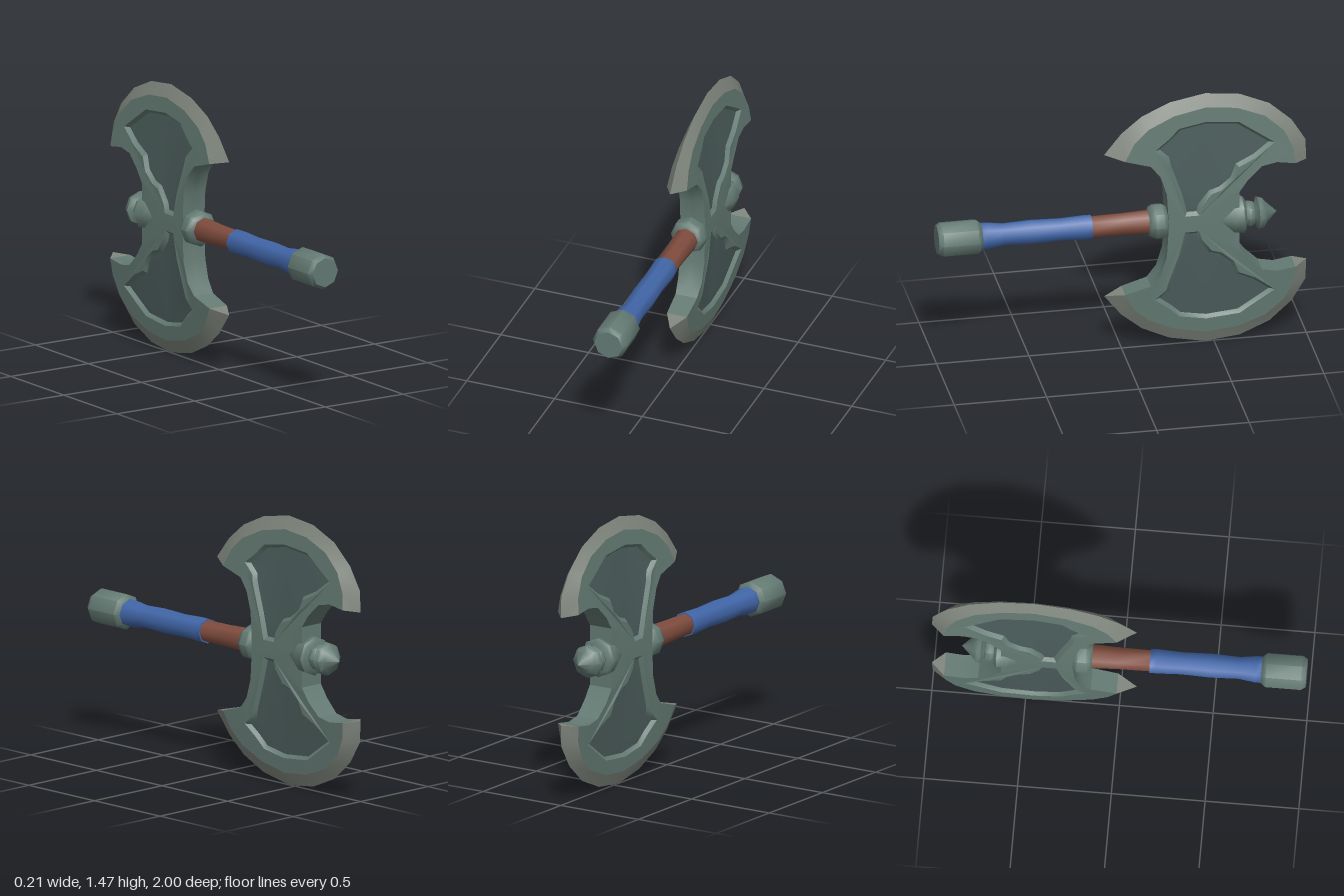
import * as THREE from 'three';
import { toCreasedNormals } from 'three/addons/utils/BufferGeometryUtils.js';

const MID = 0.735; // height of the haft axis
const material = (color) => new THREE.MeshStandardMaterial({ color });
const metal = material(0x647a73);
const edgeMetal = material(0x7f867d);
const panelMetal = material(0x4b5d5b);
const cloth = material(0x4166a8);
const wood = material(0x7f4c3e);

// Eight-sided turned part along z; profile is [z, radius] with z rising
function turned(name, profile, mat) {
  const points = profile.map(([z, r]) => new THREE.Vector2(r, z));
  const geo = new THREE.LatheGeometry(points, 8);
  geo.rotateX(Math.PI / 2).translate(0, MID, 0);
  const mesh = new THREE.Mesh(toCreasedNormals(geo, 0.85), mat);
  mesh.name = name;
  return mesh;
}

// Blade half-thickness thins out toward the cutting edge
const thickness = (y) => 0.07 - 0.1 * Math.max(0, y - 1);

// Collects triangles of one quarter and mirrors them across x and the haft axis.
// Corners are [a, y, x], where a runs toward the back (-z).
function quarterBuilder() {
  const positions = [];
  const tri = (...corners) => {
    for (const sx of [1, -1]) for (const sy of [1, -1]) {
      const order = sx * sy > 0 ? [0, 1, 2] : [0, 2, 1];
      for (const i of order) {
        const [a, y, x] = corners[i];
        positions.push(sx * x, MID + sy * (y - MID), -a);
      }
    }
  };
  const quad = (p, q, r, s) => { tri(p, q, r); tri(p, r, s); };
  // Flat region with optional hole, facing +x
  const fill = (outline, holes, height) => {
    const vec = (list) => list.map(([a, y]) => new THREE.Vector2(a, y));
    const all = [outline, ...holes].flat();
    for (const f of THREE.ShapeUtils.triangulateShape(vec(outline), holes.map(vec))) {
      const c = f.map((i) => [all[i][0], all[i][1], height(all[i][1])]);
      if (THREE.ShapeUtils.area(vec(c)) < 0) c.reverse();
      tri(...c);
    }
  };
  const mesh = (name, mat) => {
    const geo = new THREE.BufferGeometry();
    geo.setAttribute('position', new THREE.Float32BufferAttribute(positions, 3));
    geo.computeVertexNormals();
    const m = new THREE.Mesh(toCreasedNormals(geo, 0.5), mat);
    m.name = name;
    return m;
  };
  return { tri, quad, fill, mesh };
}

// Moves a clockwise outline outward by d
function offset(points, d) {
  const n = points.length;
  return points.map((p, i) => {
    const a = points[(i + n - 1) % n], b = points[(i + 1) % n];
    const normal = (u, v) => new THREE.Vector2(u[1] - v[1], v[0] - u[0]).normalize();
    const n1 = normal(a, p), n2 = normal(p, b);
    const m = n1.clone().add(n2).normalize();
    const k = d / Math.max(0.6, m.dot(n1));
    return [p[0] + m.x * k, p[1] + m.y * k];
  });
}

function createBlades() {
  const group = new THREE.Group();
  group.name = 'doubleBlade';

  // Outlines of the upper blade, from the front side over the top to the back
  const front = [[0.24, MID], [0.24, 0.8], [0.233, 0.919], [0.2, 1.026], [0.147, 1.09]];
  const bevel = [[0.01, 1.13], [0.06, 1.225], [0.14, 1.3], [0.28, 1.365], [0.453, 1.4],
    [0.62, 1.383], [0.77, 1.325], [0.87, 1.235], [0.92, 1.13], [0.93, 1.042]];
  const edge = [[-0.094, 1.154], [0, 1.272], [0.11, 1.363], [0.26, 1.433], [0.453, 1.47],
    [0.64, 1.449], [0.8, 1.38], [0.92, 1.272], [0.995, 1.149], [1, 1.031]];
  const back = [[0.83, 1.057], [0.748, 1.041], [0.673, 0.97], [0.625, 0.9], [0.625, MID]];
  const panel = [[0.345, 0.8], [0.315, 0.92], [0.26, 1.08], [0.25, 1.13], [0.2, 1.175],
    [0.26, 1.222], [0.315, 1.275], [0.453, 1.3], [0.625, 1.283], [0.79, 1.17], [0.705, 1.105],
    [0.61, 1.06], [0.58, 0.985], [0.52, 0.935], [0.465, 0.918], [0.405, 0.84], [0.395, 0.8]];
  const rim = offset(panel, 0.018);
  const top = ([a, y]) => [a, y, thickness(y)];
  const floorHeight = (y) => thickness(y) - 0.02;
  const low = ([a, y]) => [a, y, floorHeight(y)];
  const flat = ([a, y]) => [a, y, 0];

  // Body faces, side walls and the sloped border around the panel
  const body = quarterBuilder();
  body.fill([...front, ...bevel, ...back], [rim], thickness);
  for (const side of [[...front, bevel[0]], [bevel[9], ...back]]) {
    for (let i = 0; i < side.length - 1; i++) {
      const p = side[i], q = side[i + 1];
      body.quad(flat(p), top(p), top(q), flat(q));
    }
  }
  panel.forEach((p, i) => {
    const j = (i + 1) % panel.length;
    body.quad(low(p), low(panel[j]), top(rim[j]), top(rim[i]));
  });
  group.add(body.mesh('bladeBody', metal));

  // Sharpened strip, closed at both tips
  const sharp = quarterBuilder();
  for (let i = 0; i < edge.length - 1; i++) {
    sharp.quad(top(bevel[i]), top(bevel[i + 1]), flat(edge[i + 1]), flat(edge[i]));
  }
  sharp.tri(flat(bevel[0]), top(bevel[0]), flat(edge[0]));
  sharp.tri(flat(edge[9]), top(bevel[9]), flat(bevel[9]));
  group.add(sharp.mesh('cuttingEdge', edgeMetal));

  // Recessed panels
  const recess = quarterBuilder();
  recess.fill(panel, [], floorHeight);
  group.add(recess.mesh('recessedPanel', panelMetal));
  return group;
}

export function createModel() {
  const model = new THREE.Group();
  model.name = 'battleAxe';
  model.add(
    turned('pommel', [[0.755, 0], [0.76, 0.075], [0.785, 0.097], [0.975, 0.097],
      [1, 0.08], [1, 0]], metal),
    turned('gripWrap', [[0.165, 0], [0.165, 0.068], [0.2, 0.069], [0.33, 0.063], [0.49, 0.068],
      [0.64, 0.062], [0.73, 0.075], [0.765, 0.075]], cloth),
    turned('haft', [[-0.3, 0.066], [-0.14, 0.068], [0, 0.062], [0.17, 0.06]], wood),
    turned('collar', [[-0.25, 0.06], [-0.24, 0.085], [-0.22, 0.098], [-0.175, 0.098],
      [-0.15, 0.085], [-0.14, 0.065]], metal),
    turned('rearSocket', [[-0.665, 0], [-0.665, 0.09], [-0.65, 0.107], [-0.6, 0.1],
      [-0.54, 0.075], [-0.48, 0.045], [-0.46, 0]], metal),
    turned('rearRing', [[-0.72, 0.05], [-0.71, 0.068], [-0.685, 0.074], [-0.66, 0.06]], metal),
    turned('rearSpike', [[-0.84, 0], [-0.78, 0.06], [-0.76, 0.085], [-0.735, 0.092],
      [-0.725, 0.065], [-0.71, 0.045]], metal),
    createBlades(),
  );
  return model;
}
